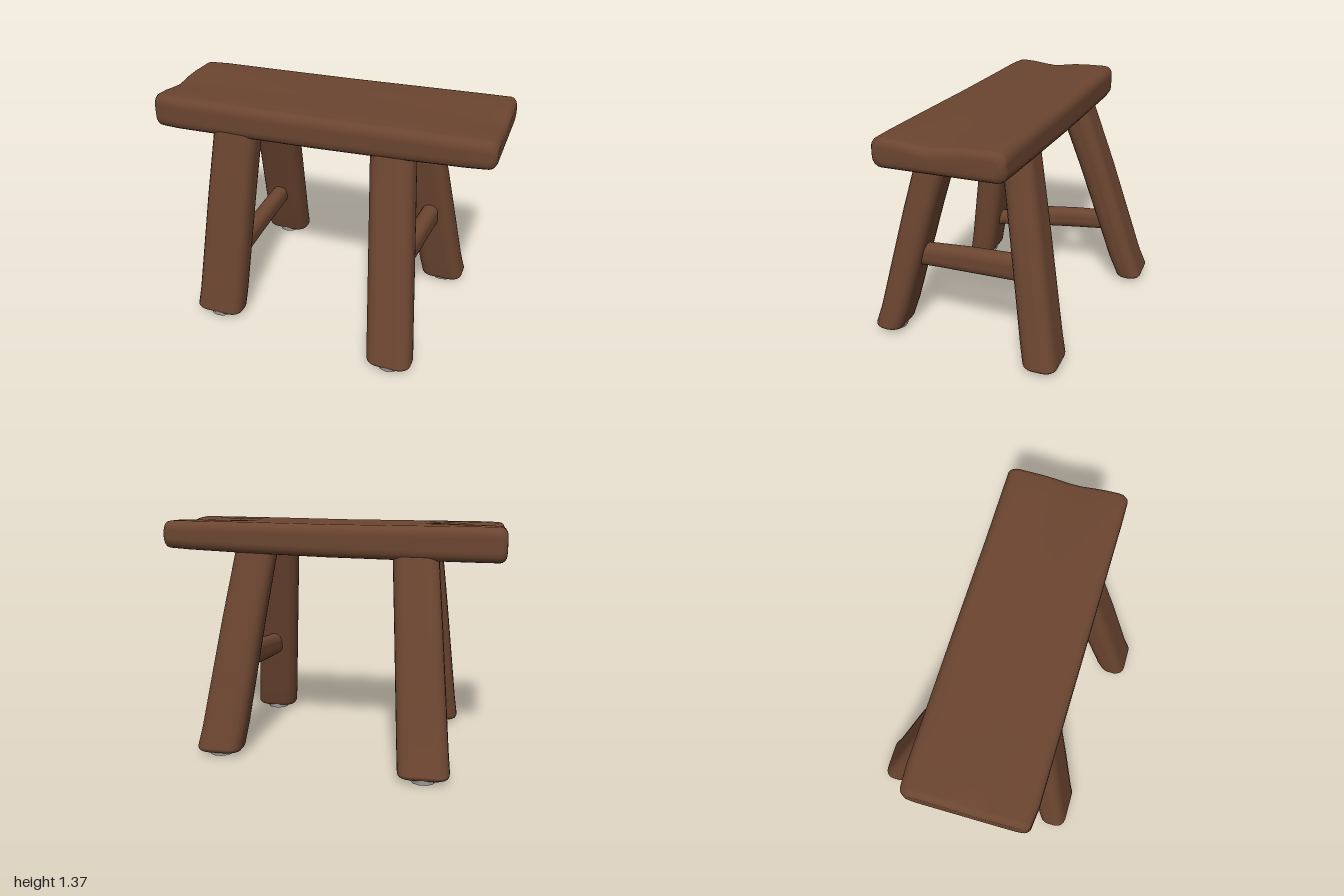
import * as THREE from 'three';

const wood = new THREE.MeshStandardMaterial({ color: 0x6b4530 });
wood.name = 'brown wood';
const padGrey = new THREE.MeshStandardMaterial({ color: 0xa9a7a5 });
padGrey.name = 'grey foot pad';

// Rounded rectangle outline, counter-clockwise, with extra points on each side
function ringPoints(w, h, radius) {
  const r = Math.max(0.004, Math.min(radius, w / 2 - 0.002, h / 2 - 0.002));
  const corners = [];
  for (let c = 0; c < 4; c++) {
    const ca = (c === 0 || c === 3 ? 1 : -1) * (w / 2 - r);
    const cb = (c < 2 ? 1 : -1) * (h / 2 - r);
    const arc = [];
    for (let k = 0; k <= 4; k++) {
      const t = (c + k / 4) * Math.PI / 2;
      arc.push([ca + r * Math.cos(t), cb + r * Math.sin(t)]);
    }
    corners.push(arc);
  }
  const pts = [];
  corners.forEach((arc, c) => {
    pts.push(...arc);
    const p = arc[4], q = corners[(c + 1) % 4][0];
    for (let k = 1; k < 8; k++) {
      pts.push([p[0] + (q[0] - p[0]) * k / 8, p[1] + (q[1] - p[1]) * k / 8]);
    }
  });
  return pts;
}

// Turns the hard ends of a section list into rounded ones
function roundEnds(sections, r) {
  const cap = ([t, a, b, w, h], dir) => [0, 1, 2, 3, 4].map(k => {
    const th = k * Math.PI / 8, inset = 2 * r * (1 - Math.sin(th));
    return [t + dir * r * (1 - Math.cos(th)), a, b, w - inset, h - inset];
  });
  const last = sections.length - 1;
  return [...cap(sections[0], 1), ...sections.slice(1, last), ...cap(sections[last], -1).reverse()];
}

// Skin through sections [t, a, b, widthA, widthB]; (a, b, t) is a right-handed frame
const frames = {
  x: (a, b, t) => [t, a, b],
  y: (a, b, t) => [b, t, a],
  z: (a, b, t) => [a, b, t],
};
function loft(name, axis, sections, corner, endRound) {
  const place = frames[axis], pos = [], idx = [];
  const rings = roundEnds(sections, endRound);
  let n = 0;
  for (const [t, a, b, w, h] of rings) {
    const pts = ringPoints(w, h, corner);
    n = pts.length;
    for (const p of pts) pos.push(...place(a + p[0], b + p[1], t));
  }
  for (let i = 0; i < rings.length - 1; i++) {
    for (let j = 0; j < n; j++) {
      const k = (j + 1) % n, p = i * n, q = p + n;
      idx.push(p + j, p + k, q + k, p + j, q + k, q + j);
    }
  }
  const end = (rings.length - 1) * n, c0 = pos.length / 3;
  for (const [t, a, b] of [rings[0], rings[rings.length - 1]]) pos.push(...place(a, b, t));
  for (let j = 0; j < n; j++) {
    const k = (j + 1) % n;
    idx.push(c0, k, j, c0 + 1, end + j, end + k);
  }
  const geo = new THREE.BufferGeometry();
  geo.setAttribute('position', new THREE.Float32BufferAttribute(pos, 3));
  geo.setIndex(idx);
  geo.computeVertexNormals();
  const mesh = new THREE.Mesh(geo, wood);
  mesh.name = name;
  return mesh;
}

// Plank seat: sections [x, y, z, thickness, depth], with the top worn down at both ends
function makeSeat() {
  const seat = loft('seat', 'x', [
    [-1.0, 1.257, 0.03, 0.197, 0.69],
    [-0.85, 1.259, 0.033, 0.198, 0.71],
    [-0.5, 1.262, 0.037, 0.195, 0.71],
    [0, 1.268, 0.043, 0.188, 0.715],
    [0.5, 1.28, 0.05, 0.18, 0.715],
    [0.85, 1.29, 0.053, 0.168, 0.72],
    [1.0, 1.294, 0.053, 0.16, 0.72],
  ], 0.05, 0.04);
  const p = seat.geometry.attributes.position;
  for (let i = 0; i < p.count; i++) {
    const x = p.getX(i), y = p.getY(i), z = p.getZ(i);
    if (y < 1.3) continue;
    const edge = Math.max(0, Math.abs(x) - 0.7) / 0.3;
    p.setY(i, y - 0.025 * edge * Math.exp(-(((z - 0.1) / 0.12) ** 2)));
  }
  seat.geometry.computeVertexNormals();
  return seat;
}

export function createModel() {
  const model = new THREE.Group();
  model.name = 'stool';
  model.add(makeSeat());

  // Splayed legs: foot and top as [x, z, width in x, depth in z]
  const legs = [
    ['frontRightLeg', [-0.59, 0.475, 0.295, 0.165], [-0.49, 0.295, 0.26, 0.19]],
    ['backRightLeg', [-0.59, -0.61, 0.285, 0.165], [-0.495, -0.215, 0.26, 0.185]],
    ['frontLeftLeg', [0.55, 0.605, 0.26, 0.17], [0.44, 0.3, 0.24, 0.19]],
    ['backLeftLeg', [0.635, -0.39, 0.265, 0.2], [0.455, -0.185, 0.24, 0.175]],
  ];
  for (const [name, foot, top] of legs) {
    const sections = [0, 0.12, 0.35, 0.65, 1].map(f => {
      const [x, z, w, d] = foot.map((v, i) => v + (top[i] - v) * f);
      return [0.02 + 1.2 * f, z, x, d, w];
    });
    model.add(loft(name, 'y', sections, 0.06, 0.03));

    // Worn pad under the foot
    const pad = new THREE.Mesh(new THREE.CylinderGeometry(0.078, 0.07, 0.04, 11), padGrey);
    pad.name = name + 'Pad';
    pad.position.set(foot[0], 0.02, foot[1]);
    model.add(pad);
  }

  // Stretchers between each pair of legs: sections [z, x, y, width, height]
  model.add(loft('leftStretcher', 'z', [
    [-0.34, 0.56, 0.56, 0.1, 0.16],
    [-0.2, 0.555, 0.55, 0.1, 0.16],
    [0.1, 0.53, 0.53, 0.1, 0.155],
    [0.3, 0.515, 0.515, 0.1, 0.145],
    [0.47, 0.51, 0.505, 0.1, 0.14],
  ], 0.048, 0.02));
  model.add(loft('rightStretcher', 'z', [
    [-0.52, -0.56, 0.405, 0.09, 0.13],
    [-0.2, -0.565, 0.377, 0.1, 0.135],
    [0, -0.57, 0.352, 0.1, 0.135],
    [0.2, -0.572, 0.327, 0.1, 0.135],
    [0.25, -0.573, 0.312, 0.1, 0.125],
    [0.31, -0.574, 0.29, 0.095, 0.1],
    [0.36, -0.575, 0.285, 0.1, 0.11],
    [0.46, -0.575, 0.285, 0.1, 0.13],
  ], 0.045, 0.02));

  return model;
}
